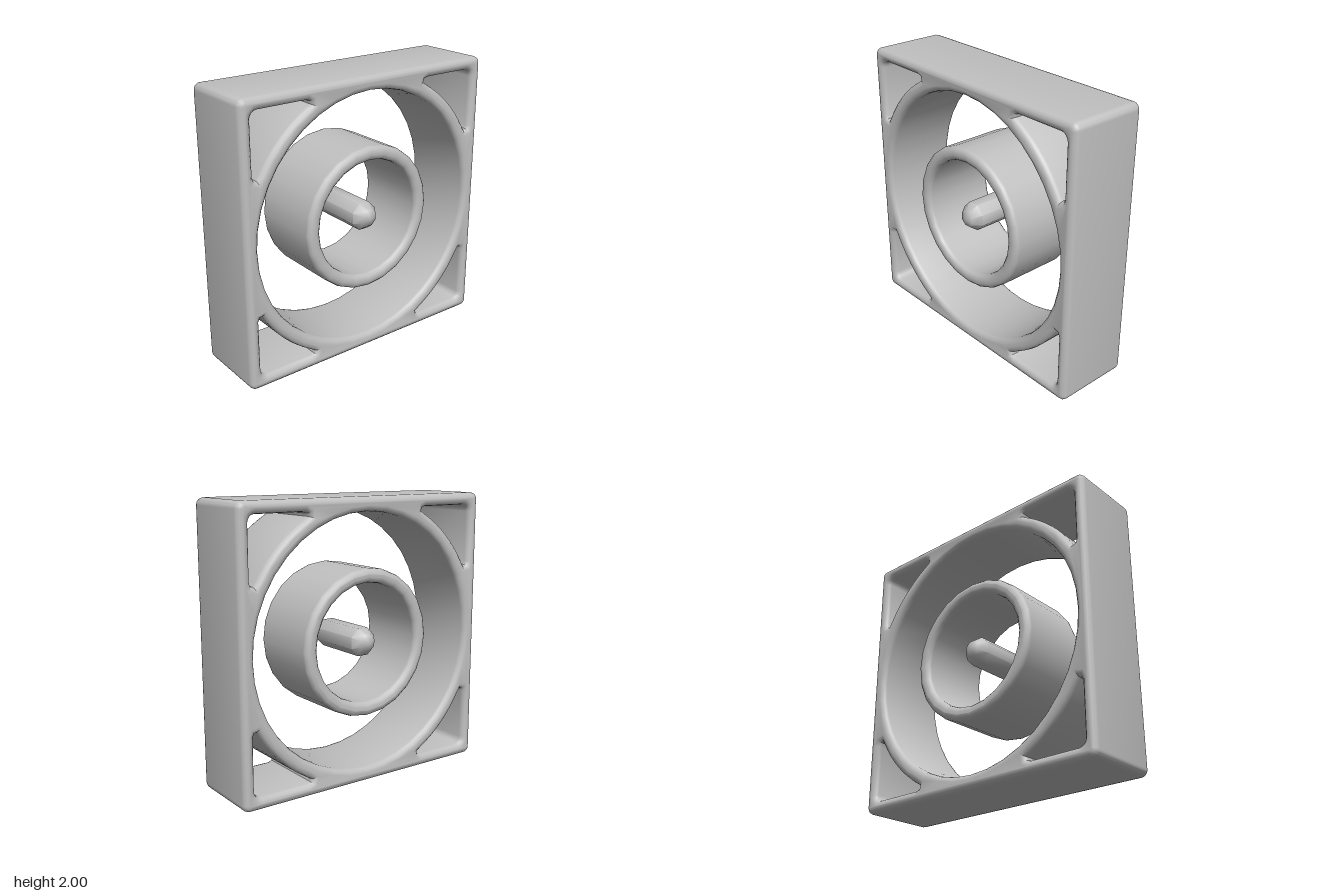
import * as THREE from 'three';
import { toCreasedNormals } from 'three/addons/utils/BufferGeometryUtils.js';

const HALF_DEPTH = 0.285;
const BEVEL = 0.04;

// Closed lathe profile with rounded rims, turned so its axis runs along z
function ringGeometry(inner, outer, sides) {
  const b = BEVEL, h = HALF_DEPTH, pts = [];
  const corner = (cx, cy, start) => {
    for (let i = 0; i <= 3; i++) {
      const a = start + (i / 3) * Math.PI / 2;
      pts.push(new THREE.Vector2(cx + b * Math.cos(a), cy + b * Math.sin(a)));
    }
  };
  corner(outer - b, -h + b, -Math.PI / 2);
  corner(outer - b, h - b, 0);
  corner(inner + b, h - b, Math.PI / 2);
  corner(inner + b, -h + b, Math.PI);
  pts.push(pts[0].clone());
  return new THREE.LatheGeometry(pts, sides).rotateX(Math.PI / 2);
}

// Triangular pocket between the big circle and one corner of the square
function cornerPocket(sx, sy) {
  const r = 1.0, s = 0.915, c = 0.05, pts = [];
  const a0 = Math.PI / 6, n = 8;
  for (let i = 0; i <= n; i++) {
    const a = a0 + (i / n) * (Math.PI / 2 - 2 * a0);
    pts.push([r * Math.cos(a), r * Math.sin(a)]);
  }
  pts.push([0.47, 0.885], [0.475, 0.905], [0.5, s]);
  for (let i = 0; i <= 4; i++) {
    const a = Math.PI / 2 * (1 - i / 4);
    pts.push([s - c + c * Math.cos(a), s - c + c * Math.sin(a)]);
  }
  pts.push([s, 0.5], [0.905, 0.475], [0.885, 0.47]);
  return new THREE.Path(pts.map(([x, y]) => new THREE.Vector2(x * sx, y * sy)));
}

// Rounded square with a large round opening and four pockets
function frameGeometry() {
  const shape = new THREE.Shape(), c = 0.05, k = 1 - c;
  shape.absarc(k, k, c, 0, Math.PI / 2);
  shape.absarc(-k, k, c, Math.PI / 2, Math.PI);
  shape.absarc(-k, -k, c, Math.PI, Math.PI * 1.5);
  shape.absarc(k, -k, c, Math.PI * 1.5, Math.PI * 2);
  const opening = [];
  for (let i = 0; i < 40; i++) {
    const a = (i / 40) * Math.PI * 2;
    opening.push(new THREE.Vector2(0.9 * Math.cos(a), 0.9 * Math.sin(a)));
  }
  shape.holes.push(new THREE.Path(opening));
  for (const sx of [-1, 1]) for (const sy of [-1, 1]) shape.holes.push(cornerPocket(sx, sy));
  const depth = 2 * (HALF_DEPTH - BEVEL);
  const geo = new THREE.ExtrudeGeometry(shape, {
    depth, curveSegments: 5, bevelEnabled: true, bevelSegments: 3,
    bevelSize: BEVEL, bevelThickness: BEVEL, bevelOffset: -BEVEL,
  });
  geo.translate(0, 0, -depth / 2);
  return toCreasedNormals(geo, 0.7);
}

// Slim eight-sided pin with blunt pointed ends
function pinGeometry() {
  const pts = [[0, -0.29], [0.06, -0.27], [0.105, -0.21], [0.105, 0.21], [0.06, 0.27], [0, 0.29]]
    .map(([x, y]) => new THREE.Vector2(x, y));
  const geo = new THREE.LatheGeometry(pts, 8, Math.PI / 8).rotateX(Math.PI / 2);
  return toCreasedNormals(geo, 0.8);
}

export function createModel() {
  const grey = new THREE.MeshStandardMaterial({ color: 0xc0c0c0 });
  grey.name = 'plain grey';
  const group = new THREE.Group();
  const add = (name, geometry) => {
    const mesh = new THREE.Mesh(geometry, grey);
    mesh.name = name;
    mesh.position.y = 1;
    group.add(mesh);
  };
  add('squareFrame', frameGeometry());
  add('innerRing', ringGeometry(0.42, 0.52, 24));
  add('centrePin', pinGeometry());
  return group;
}
